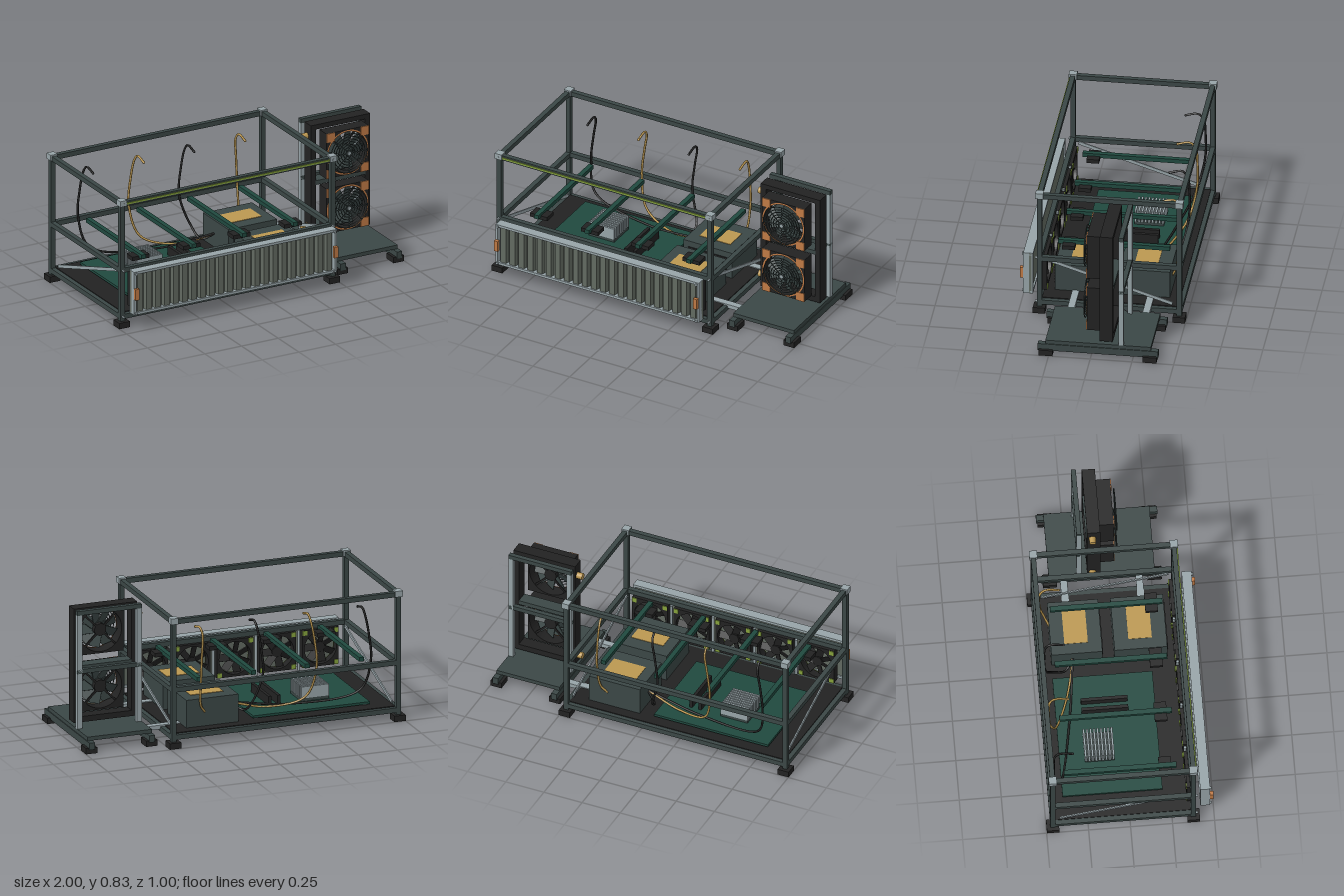
import * as THREE from 'three';

const mat = (name, color) => {
  const m = new THREE.MeshStandardMaterial({ color });
  m.name = name;
  return m;
};

export function createModel() {
  const slate = mat('slate', 0x3b4746), black = mat('black', 0x222222), steel = mat('steel', 0x97a4a8);
  const green = mat('board green', 0x20493f), brass = mat('brass', 0xbc9851), copper = mat('copper', 0xc07a45);
  const lime = mat('lime', 0x86a23c), panelGrey = mat('panel grey', 0x626a61);
  const root = new THREE.Group();

  const add = (parent, name, geo, material, x = 0, y = 0, z = 0) => {
    const m = new THREE.Mesh(geo, material);
    m.name = name;
    m.position.set(x, y, z);
    parent.add(m);
    return m;
  };
  // Box given by its limits on each axis
  const box = (parent, name, material, x0, x1, y0, y1, z0, z1) =>
    add(parent, name, new THREE.BoxGeometry(x1 - x0, y1 - y0, z1 - z0), material,
      (x0 + x1) / 2, (y0 + y1) / 2, (z0 + z1) / 2);
  const group = (name, parent = root) => {
    const g = new THREE.Group();
    g.name = name;
    parent.add(g);
    return g;
  };

  // Main frame: posts, rails, feet, corner blocks
  const frame = group('mainFrame');
  const X = [-0.965, 0.468], Z = [-0.461, 0.377], rails = [0.065, 0.361, 0.786], h = 0.015;
  for (const x of X) {
    for (const z of Z) {
      box(frame, 'post', slate, x - h, x + h, 0.037, 0.79, z - h, z + h);
      box(frame, 'foot', black, x - 0.036, x + 0.036, 0, 0.037, z - 0.037, z + 0.037);
      box(frame, 'cornerBlock', steel, x - 0.023, x + 0.023, 0.773, 0.81, z - 0.024, z + 0.024);
    }
    for (const y of rails) {
      box(frame, 'sideRail', slate, x - h, x + h, y - h, y + h, Z[0], Z[1]);
      add(frame, 'bolt', new THREE.CylinderGeometry(0.008, 0.008, 0.02, 10), steel, x, y, 0.393).rotation.x = Math.PI / 2;
    }
    // Diagonal flat brace just inside each side
    const brace = box(frame, 'diagonalBrace', steel, -0.004, 0.004, -0.01, 0.01, -0.398, 0.398);
    brace.position.set(x > 0 ? x - 0.019 : x + 0.019, 0.222, -0.037);
    brace.rotation.x = -Math.atan2(0.245, 0.757);
  }
  for (const z of Z)
    for (const y of rails) box(frame, 'longRail', slate, X[0], X[1], y - h, y + h, z - h, z + h);
  box(frame, 'lightStrip', lime, -0.94, 0.445, 0.781, 0.791, 0.392, 0.398);
  box(frame, 'deck', black, -0.952, 0.455, 0.074, 0.085, -0.45, 0.365);

  // Mainboard with heatsink and memory
  const board = group('mainboard');
  box(board, 'circuitBoard', green, -0.815, -0.07, 0.095, 0.11, -0.39, 0.205);
  for (const x of [-0.79, -0.1])
    for (const z of [-0.36, 0.18]) box(board, 'standoff', steel, x - 0.01, x + 0.01, 0.085, 0.095, z - 0.01, z + 0.01);
  box(board, 'heatsinkBase', slate, -0.612, -0.436, 0.11, 0.128, -0.24, -0.064);
  for (let i = 0; i < 9; i++) {
    const z = -0.235 + i * 0.0207;
    box(board, 'heatsinkFin', steel, -0.612, -0.436, 0.128, 0.2, z - 0.006, z + 0.006);
  }
  for (const x of [-0.297, -0.238]) box(board, 'memoryStick', black, x - 0.01, x + 0.01, 0.11, 0.165, -0.235, 0.043);

  // Two power supplies
  for (const [z0, z1] of [[-0.388, -0.084], [-0.012, 0.302]]) {
    const psu = group('powerSupply');
    const c = (z0 + z1) / 2;
    box(psu, 'powerCase', slate, 0.024, 0.356, 0.085, 0.257, z0, z1);
    box(psu, 'powerLabel', brass, 0.088, 0.297, 0.256, 0.26, c - 0.07, c + 0.07);
    for (let i = 0; i < 6; i++)
      box(psu, 'ventSlat', black, 0.06, 0.32, 0.112 + i * 0.02, 0.119 + i * 0.02, z1, z1 + 0.006);
  }

  // Riser bars, their clamps and hooked cables
  [-0.767, -0.421, -0.078, 0.27].forEach((x, i) => {
    const riser = group('riser');
    box(riser, 'riserBar', green, x - 0.015, x + 0.015, 0.362, 0.388, -0.377, 0.292);
    box(riser, 'riserClamp', black, x - 0.058, x + 0.058, 0.347, 0.372, 0.187, 0.262);
    const low = i < 3 ? [[0.03, 0.17, -0.26], [x * 0.45, 0.13, -0.31], [x + 0.02, 0.19, -0.39]]
      : [[0.24, 0.176, -0.385], [0.27, 0.22, -0.405]];
    const lean = i < 3 ? -0.035 : 0.012;
    const pts = [...low, [x + lean, 0.38, -0.436], [x + lean * 0.6, 0.55, -0.441], [x, 0.67, -0.432],
      [x + 0.004, 0.706, -0.4], [x + 0.004, 0.69, -0.325]].map(p => new THREE.Vector3(...p));
    add(riser, 'cable', new THREE.TubeGeometry(new THREE.CatmullRomCurve3(pts), 48, 0.007, 6), i % 2 ? brass : black);
    for (const e of [pts[0], pts[pts.length - 1]])
      add(riser, 'cableEnd', new THREE.SphereGeometry(0.008, 8, 6), i % 2 ? brass : black, e.x, e.y, e.z);
  });

  // Square fan housing with a round opening, front face at z = depth
  const housing = (half, hole, depth) => {
    const s = new THREE.Shape([[-1, -1], [1, -1], [1, 1], [-1, 1]].map(([a, b]) => new THREE.Vector2(a * half, b * half)));
    const p = new THREE.Path();
    p.absarc(0, 0, hole, 0, Math.PI * 2, true);
    s.holes.push(p);
    return new THREE.ExtrudeGeometry(s, { depth, bevelEnabled: false, curveSegments: 24 });
  };
  const rotor = (parent, n, r, hubR, width, z, material) => {
    const hub = add(parent, 'fanHub', new THREE.CylinderGeometry(hubR, hubR, 0.025, 20), material, 0, 0, z);
    hub.rotation.x = Math.PI / 2;
    for (let i = 0; i < n; i++) {
      const arm = group('fanBlade', parent);
      arm.position.z = z;
      arm.rotation.z = i * Math.PI * 2 / n;
      const len = r - hubR + 0.005;
      add(arm, 'blade', new THREE.BoxGeometry(len, width, 0.005), material, hubR + len / 2 - 0.005).rotation.x = 0.5;
    }
  };

  // Row of five intake fans behind the front cover
  for (let i = 0; i < 5; i++) {
    const x = -0.79 + i * 0.2725;
    const fan = group('intakeFan');
    fan.position.set(x, 0.229, 0.342);
    add(fan, 'fanHousing', housing(0.116, 0.102, 0.05), black);
    rotor(fan, 7, 0.098, 0.032, 0.045, 0.025, black);
    add(fan, 'fanRing', new THREE.RingGeometry(0.102, 0.112, 32), lime, 0, 0, 0.054).material.side = THREE.DoubleSide;
    for (const sx of [-1, 1])
      for (const sy of [-1, 1])
        box(fan, 'fanCornerPad', lime, sx * 0.1 - 0.014, sx * 0.1 + 0.014, sy * 0.1 - 0.014, sy * 0.1 + 0.014, -0.005, 0);
    if (i < 4) add(root, 'fanSpacer', new THREE.CylinderGeometry(0.009, 0.009, 0.25, 10), steel, x + 0.136, 0.225, 0.352);
  }

  // Corrugated front cover
  const cover = group('frontCover');
  const L = -0.937, R = 0.446;
  box(cover, 'coverBack', panelGrey, L, R, 0.105, 0.37, 0.43, 0.445);
  box(cover, 'coverTop', steel, L, R, 0.358, 0.374, 0.42, 0.479);
  box(cover, 'coverBottom', steel, L, R, 0.099, 0.115, 0.42, 0.479);
  for (const [a, b] of [[L, L + 0.014], [R - 0.014, R]]) box(cover, 'coverSide', steel, a, b, 0.099, 0.374, 0.42, 0.479);
  const ribShape = new THREE.Shape([[-0.026, 0], [0.026, 0], [0.018, 0.024], [-0.018, 0.024]].map(p => new THREE.Vector2(...p)));
  const ribGeo = new THREE.ExtrudeGeometry(ribShape, { depth: 0.243, bevelEnabled: false });
  ribGeo.rotateX(Math.PI / 2).scale(1, 1, 1);
  for (let i = 0; i < 22; i++) add(cover, 'coverRib', ribGeo, panelGrey, L + 0.046 + i * 0.0615, 0.358, 0.445);
  for (const x of [-0.925, 0.43]) {
    box(cover, 'coverHandle', copper, x - 0.013, x + 0.013, 0.2, 0.27, 0.479, 0.499);
    for (const y of [0.11, 0.362])
      add(cover, 'coverScrew', new THREE.CylinderGeometry(0.008, 0.008, 0.01, 10), steel, x, y, 0.483).rotation.x = Math.PI / 2;
  }

  // Cooling stand beside the frame
  const stand = group('coolingStand');
  box(stand, 'standPlate', slate, 0.564, 0.976, 0.07, 0.094, -0.36, 0.272);
  for (const x of [0.579, 0.963]) {
    box(stand, 'standRail', slate, x - 0.018, x + 0.018, 0.027, 0.07, -0.404, 0.318);
    for (const z of [-0.354, 0.269])
      box(stand, 'standFoot', black, x - 0.036, x + 0.036, 0, 0.036, z - 0.042, z + 0.042);
  }
  for (const x of [0.58, 0.96]) box(stand, 'standPost', steel, x - 0.016, x + 0.016, 0.094, 0.8, -0.195, -0.166);
  for (const y of [0.436, 0.8]) box(stand, 'standCrossbar', slate, 0.564, 0.976, y, y + 0.027, -0.195, -0.166);
  for (const z of [-0.273, 0.176]) box(stand, 'linkArm', steel, 0.345, 0.75, 0.065, 0.09, z - 0.021, z + 0.021);

  // Radiator frame and hose fittings
  for (const [a, b] of [[0.568, 0.603], [0.937, 0.972]]) box(stand, 'radiatorSide', black, a, b, 0.112, 0.823, -0.131, -0.053);
  for (const [a, b] of [[0.112, 0.147], [0.793, 0.823], [0.438, 0.465]])
    box(stand, 'radiatorBar', a === 0.438 ? slate : black, 0.6, 0.94, a, b, -0.131, -0.053);
  for (const y of [0.743, 0.166])
    add(stand, 'hoseFitting', new THREE.CylinderGeometry(0.02, 0.02, 0.042, 16), brass, 0.552, y, -0.1).rotation.z = Math.PI / 2;

  // Two large radiator fans with wire guards
  for (const y of [0.645, 0.293]) {
    const fan = group('radiatorFan', stand);
    fan.position.set(0.77, y, -0.053);
    add(fan, 'fanHousing', housing(0.144, 0.134, 0.085), black);
    rotor(fan, 9, 0.118, 0.04, 0.062, 0.05, slate);
    add(fan, 'fanRing', new THREE.RingGeometry(0.132, 0.142, 40), copper, 0, 0, 0.087).material.side = THREE.DoubleSide;
    for (const sx of [-1, 1])
      for (const sy of [-1, 1])
        box(fan, 'fanCornerPlate', copper, sx * 0.116 - 0.028, sx * 0.116 + 0.028, sy * 0.116 - 0.028, sy * 0.116 + 0.028, 0.085, 0.09);
    for (let r = 0.022; r < 0.126; r += 0.017)
      add(fan, 'guardRing', new THREE.TorusGeometry(r, 0.003, 5, 36), slate, 0, 0, 0.106);
    for (let i = 0; i < 4; i++)
      add(fan, 'guardSpoke', new THREE.BoxGeometry(0.25, 0.005, 0.004), slate, 0, 0, 0.106).rotation.z = i * Math.PI / 4;
    add(fan, 'guardCap', new THREE.CylinderGeometry(0.012, 0.012, 0.006, 16), steel, 0, 0, 0.108).rotation.x = Math.PI / 2;
    // Motor struts holding the rotor in the housing
    for (let i = 0; i < 2; i++)
      add(fan, 'motorStrut', new THREE.BoxGeometry(0.27, 0.012, 0.008), black, 0, 0, 0.01).rotation.z = Math.PI / 4 + i * Math.PI / 2;
    add(fan, 'motor', new THREE.CylinderGeometry(0.038, 0.038, 0.04, 20), black, 0, 0, 0.026).rotation.x = Math.PI / 2;
  }
  return root;
}
